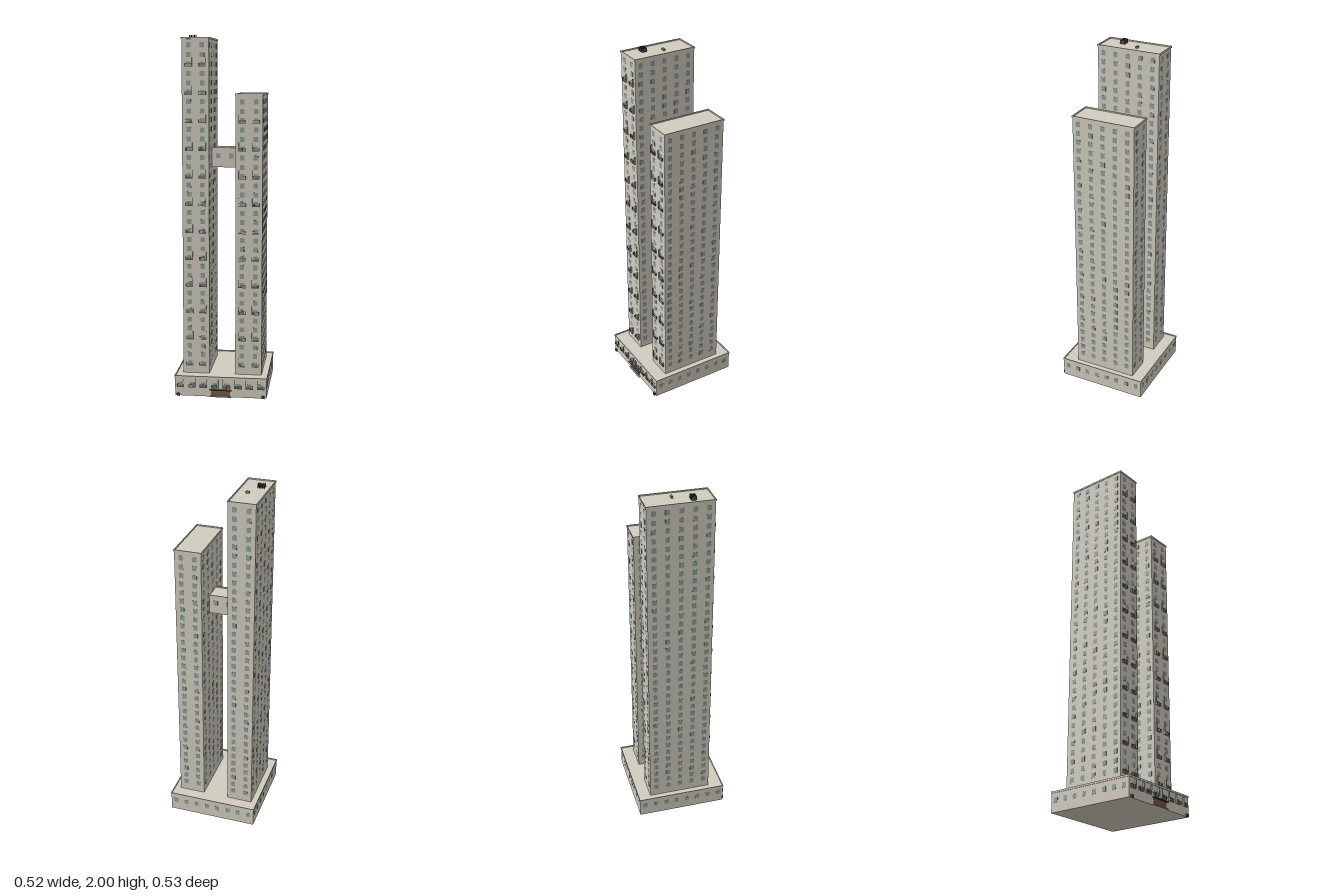
import * as THREE from 'three';
import { mergeGeometries } from 'three/addons/utils/BufferGeometryUtils.js';

const mat = (color) => new THREE.MeshStandardMaterial({ color });
const WALL = mat(0xd2ccbf), GLASS = mat(0x8aa09a), RAIL = mat(0x62635d),
  SLAB = mat(0xb0aea3), WOOD = mat(0x7a5a48), METAL = mat(0x4a4a46), GREEN = mat(0x7d9468);
const FLOOR = 0.0508, FIRST = 0.165;

// Box geometry given by its minimum and maximum corners
function box(x0, x1, y0, y1, z0, z1) {
  return new THREE.BoxGeometry(x1 - x0, y1 - y0, z1 - z0)
    .translate((x0 + x1) / 2, (y0 + y1) / 2, (z0 + z1) / 2);
}

function part(group, name, material, geometries) {
  const mesh = new THREE.Mesh(mergeGeometries(geometries), material);
  mesh.name = name;
  group.add(mesh);
}

// Evenly spaced values around a centre
const spread = (n, centre, step) =>
  Array.from({ length: n }, (_, i) => centre + (i - (n - 1) / 2) * step);

// Walls with a recessed roof deck and a thin overhanging parapet
function shell(x0, x1, y0, y1, z0, z1) {
  const o = 0.003, t = 0.004, h = 0.01;
  return [
    box(x0, x1, y0, y1 - 0.007, z0, z1),
    box(x0 - o, x1 + o, y1 - h, y1, z1 + o - t, z1 + o),
    box(x0 - o, x1 + o, y1 - h, y1, z0 - o, z0 - o + t),
    box(x0 - o, x0 - o + t, y1 - h, y1, z0 - o + t, z1 + o - t),
    box(x1 + o - t, x1 + o, y1 - h, y1, z0 - o + t, z1 + o - t),
  ];
}

// Window panes on front/back walls (at xs) and side walls (at zs)
function windows(rows, xs, zs, x0, x1, z0, z1) {
  const out = [], w = 0.0125, h = 0.0135, d = 0.001;
  for (const y of rows) {
    for (const x of xs) for (const z of [z0, z1])
      out.push(box(x - w, x + w, y - h, y + h, z - d, z + d));
    for (const z of zs) for (const x of [x0, x1])
      out.push(box(x - d, x + d, y - h, y + h, z - w, z + w));
  }
  return out;
}

// Balcony: floor slab, barred railing, optional privacy screen on one side
function balcony(slabs, rails, x, y, z, screenSide) {
  const w = 0.02, d = 0.008, t = 0.0012, h = 0.018;
  slabs.push(box(x - w, x + w, y, y + 0.004, z, z + d));
  rails.push(box(x - w, x + w, y + h - t, y + h, z + d - t, z + d));
  for (const bx of spread(8, x, 0.0054))
    rails.push(box(bx - t / 2, bx + t / 2, y + 0.004, y + h, z + d - t, z + d));
  for (const s of [-1, 1]) {
    const sx = x + s * (w - t / 2), top = s === screenSide ? 0.047 : h;
    (s === screenSide ? slabs : rails).push(box(sx - t / 2, sx + t / 2, y + 0.002, y + top, z, z + d));
  }
}

function tower(name, side, floors, top) {
  const g = new THREE.Group();
  g.name = name;
  const cx = side * 0.1475, x0 = cx - 0.0745, x1 = cx + 0.0745, z0 = -0.19, z1 = 0.171;
  const xs = spread(2, cx, 0.075), zs = spread(5, -0.0065, 0.0725);
  const rows = Array.from({ length: floors }, (_, i) => FIRST + i * FLOOR);
  part(g, 'towerWalls', WALL, shell(x0, x1, 0.1, top, z0, z1));
  part(g, 'towerWindows', GLASS, windows(rows, xs, zs, x0, x1, z0, z1));
  // A pair of balconies on every third floor
  const slabs = [], rails = [];
  for (let i = 0; i < floors; i += 3)
    for (const x of xs) balcony(slabs, rails, x, rows[i] - 0.014, z1, -side);
  part(g, 'balconySlabs', SLAB, slabs);
  part(g, 'balconyRailings', RAIL, rails);
  return g;
}

function podium() {
  const g = new THREE.Group();
  g.name = 'podium';
  const x0 = -0.257, x1 = 0.257, z0 = -0.261, z1 = 0.253;
  const cols = spread(8, 0, 0.0645);
  part(g, 'podiumWalls', WALL, shell(x0, x1, 0, 0.115, z0, z1));
  part(g, 'podiumWindows', GLASS, windows([0.066], cols, cols.map((c) => c - 0.004), x0, x1, z0, z1));
  const slabs = [], rails = [];
  for (const x of cols) balcony(slabs, rails, x, 0.051, z1, x < 0 ? 1 : -1);
  part(g, 'podiumBalconySlabs', SLAB, slabs);
  part(g, 'podiumRailings', RAIL, rails);
  // Entrance doors under a canopy
  part(g, 'entranceDoors', WOOD, [-1, 1].map((s) =>
    box(s * 0.027 - 0.026, s * 0.027 + 0.026, 0.004, 0.036, z1 - 0.001, z1 + 0.003)));
  part(g, 'entranceCanopy', METAL, [box(-0.062, 0.062, 0.038, 0.043, z1, z1 + 0.012)]);
  part(g, 'entranceStep', SLAB, [box(-0.06, 0.06, 0, 0.004, z1, z1 + 0.01)]);
  part(g, 'planters', METAL, [-1, 1].map((s) =>
    box(s * 0.238 - 0.009, s * 0.238 + 0.009, 0, 0.014, z1, z1 + 0.01)));
  return g;
}

function skyBridge() {
  const g = new THREE.Group();
  g.name = 'skyBridge';
  const x = 0.074, z0 = -0.062, z1 = 0.052;
  part(g, 'bridgeBody', WALL, [
    box(-x, x, 1.27, 1.373, z0, z1),
    box(-x, x, 1.368, 1.38, z1 - 0.001, z1 + 0.003),
    box(-x, x, 1.368, 1.38, z0 - 0.003, z0 + 0.001),
  ]);
  part(g, 'bridgeWindows', GLASS, windows([1.334], [-0.037, 0.037], [], 0, 0, z0, z1));
  return g;
}

// Upright fins and a small box on the taller roof
function roofEquipment() {
  const g = new THREE.Group();
  g.name = 'roofEquipment';
  part(g, 'roofFins', METAL, spread(5, -0.175, 0.0087).map((x) =>
    box(x - 0.001, x + 0.001, 1.976, 2, 0.051, 0.081)));
  part(g, 'roofUnit', GREEN, [box(-0.14, -0.12, 1.976, 1.989, -0.039, -0.029)]);
  return g;
}

export function createModel() {
  const model = new THREE.Group();
  model.name = 'twinTowerBuilding';
  model.add(podium(), tower('tallTower', -1, 36, 1.985), tower('shortTower', 1, 30, 1.682),
    skyBridge(), roofEquipment());
  return model;
}
